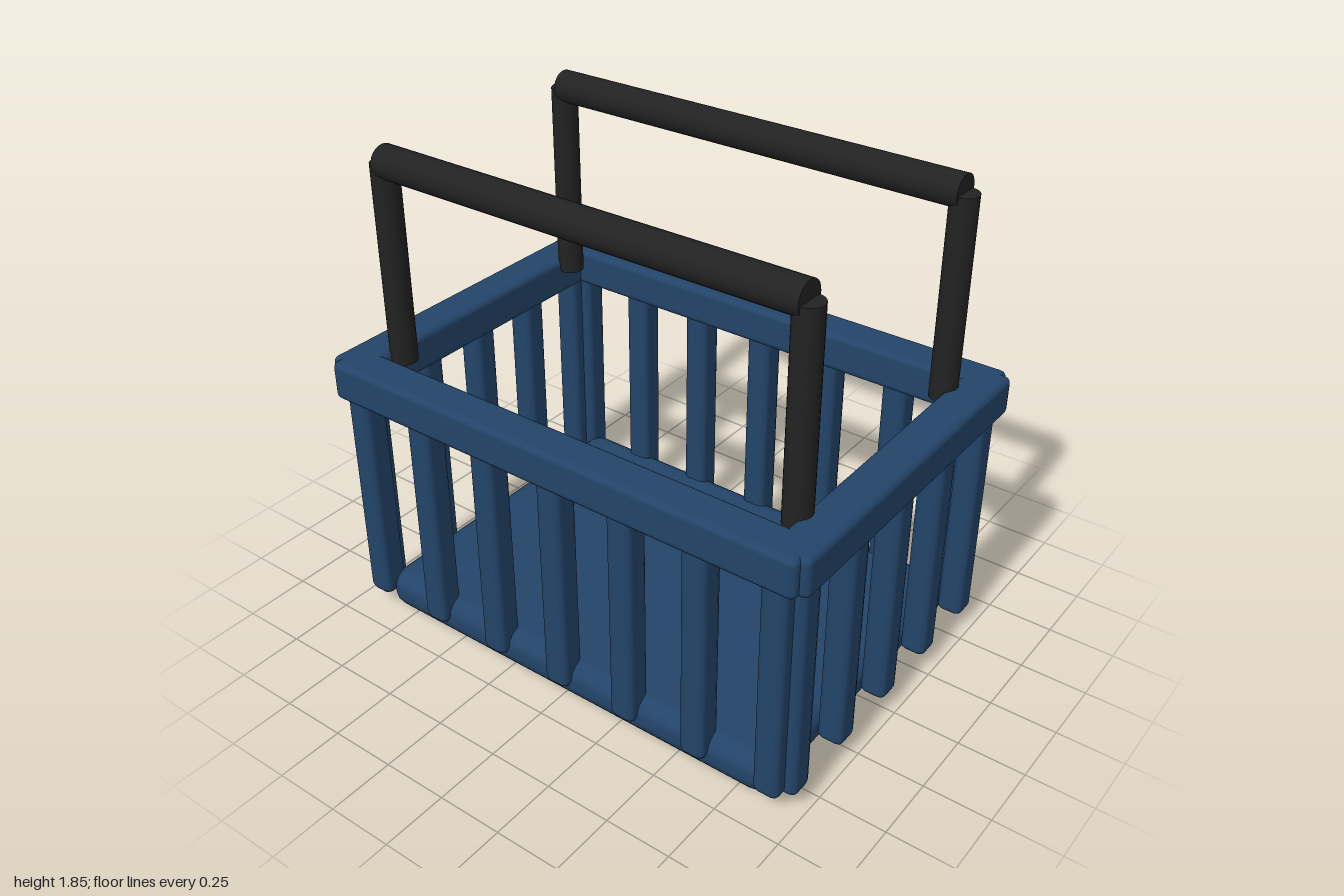
import * as THREE from 'three';
import { RoundedBoxGeometry } from 'three/addons/geometries/RoundedBoxGeometry.js';

export function createModel() {
  const basket = new THREE.Group();
  basket.name = 'shoppingBasket';
  const blue = new THREE.MeshStandardMaterial({ color: 0x234469 });
  blue.name = 'navy plastic';
  const black = new THREE.MeshStandardMaterial({ color: 0x222222 });
  black.name = 'black handle';

  const add = (name, geometry, material, x, y, z) => {
    const mesh = new THREE.Mesh(geometry, material);
    mesh.name = name;
    mesh.position.set(x, y, z);
    basket.add(mesh);
    return mesh;
  };

  // Base tray
  add('base', new RoundedBoxGeometry(1.74, 0.16, 1.28, 2, 0.07), blue, 0, 0.08, 0);

  // Upright slats along all four sides
  const slat = new RoundedBoxGeometry(0.1, 0.93, 0.1, 1, 0.025);
  const slatY = 0.07 + 0.93 / 2;
  for (const side of [-1, 1]) {
    for (let i = -3; i <= 3; i++) {
      add(side > 0 ? 'frontSlat' : 'backSlat', slat, blue, i * 0.295, slatY, side * 0.62);
    }
    for (let i = -2; i <= 2; i++) {
      add(side > 0 ? 'leftSlat' : 'rightSlat', slat, blue, side * 0.925, slatY, i * 0.286);
    }
  }

  // Rim bars, crossing at the corners
  const longRim = new RoundedBoxGeometry(1.94, 0.15, 0.15, 2, 0.025);
  const shortRim = new RoundedBoxGeometry(0.15, 0.15, 1.32, 2, 0.025);
  for (const side of [-1, 1]) {
    add(side > 0 ? 'frontRim' : 'backRim', longRim, blue, 0, 0.995, side * 0.615);
    add(side > 0 ? 'leftRim' : 'rightRim', shortRim, blue, side * 0.925, 0.995, 0);
  }

  // Two handles, each with a grip and two posts
  const post = new THREE.CylinderGeometry(0.05, 0.05, 0.755, 24);
  const grip = new THREE.CylinderGeometry(0.06, 0.06, 1.67, 24);
  for (const z of [-0.465, 0.465]) {
    add('handleGrip', grip, black, 0, 1.785, z).rotation.z = Math.PI / 2;
    for (const x of [-0.835, 0.835]) add('handlePost', post, black, x, 1.4025, z);
  }
  return basket;
}
